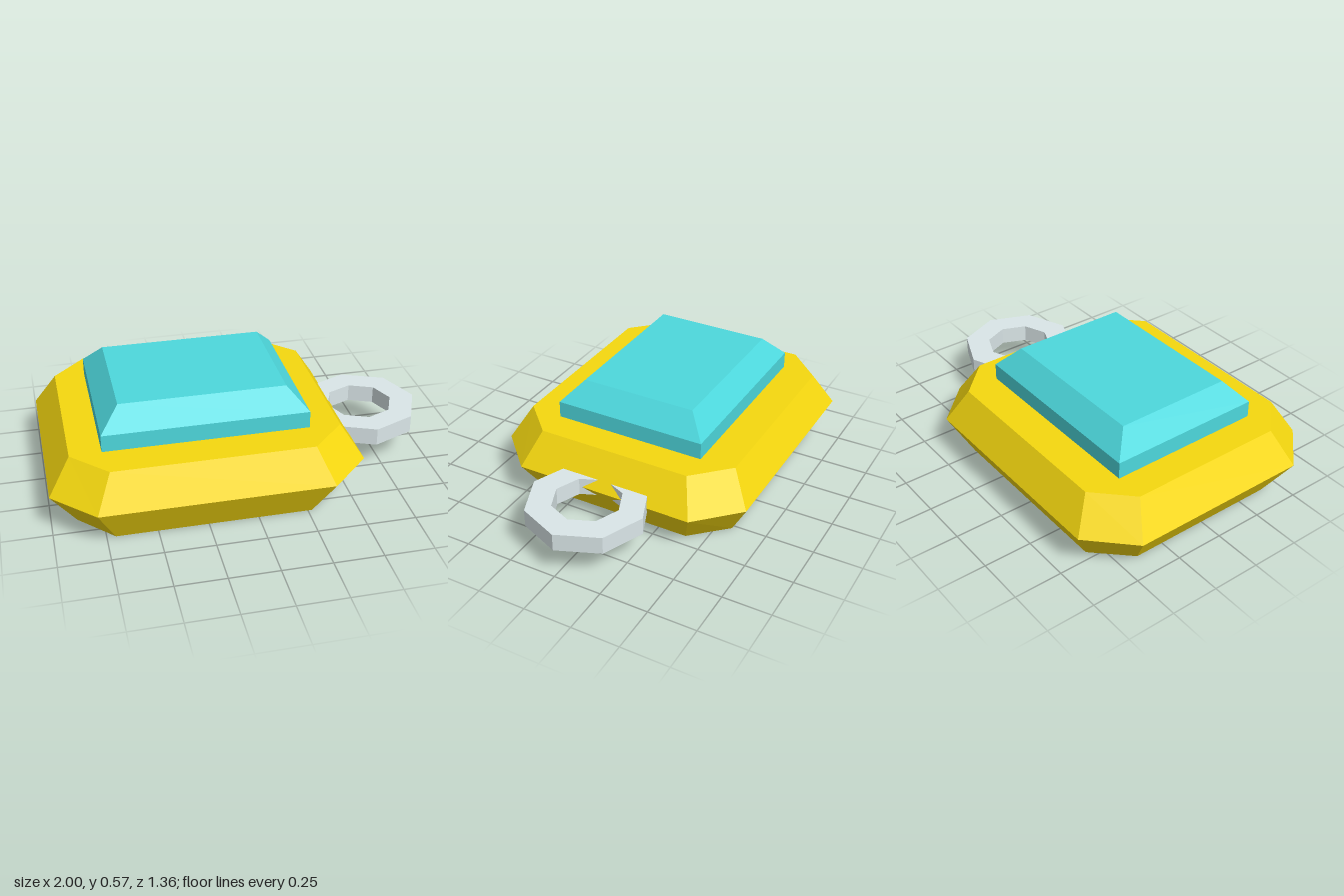
import * as THREE from 'three';

// Solid lofted through stacked convex outlines; each outline is a list of [x, z] at height y
function loft(levels) {
  const pos = [];
  const n = levels[0].outline.length;
  const at = (k, i) => {
    const [x, z] = levels[k].outline[i % n];
    return [x, levels[k].y, z];
  };
  const tri = (a, b, c) => pos.push(...a, ...b, ...c);
  for (let k = 0; k < levels.length - 1; k++) {
    for (let i = 0; i < n; i++) {
      tri(at(k, i), at(k + 1, i), at(k + 1, i + 1));
      tri(at(k, i), at(k + 1, i + 1), at(k, i + 1));
    }
  }
  const top = levels.length - 1;
  for (let i = 1; i < n - 1; i++) {
    tri(at(0, 0), at(0, i), at(0, i + 1));
    tri(at(top, 0), at(top, i + 1), at(top, i));
  }
  const geo = new THREE.BufferGeometry();
  geo.setAttribute('position', new THREE.Float32BufferAttribute(pos, 3));
  geo.computeVertexNormals();
  return geo;
}

// Rectangle with clipped corners: half sizes hx, hz; straight edges end at cx, cz
const octagon = (y, hx, hz, cx, cz) => ({
  y,
  outline: [[hx, -cz], [hx, cz], [cx, hz], [-cx, hz], [-hx, cz], [-hx, -cz], [-cx, -hz], [cx, -hz]],
});
const rectangle = (y, hx, hz) => ({ y, outline: [[hx, -hz], [hx, hz], [-hx, hz], [-hx, -hz]] });

function part(name, geometry, color, x, y = 0) {
  const material = new THREE.MeshStandardMaterial({ color, flatShading: true });
  const mesh = new THREE.Mesh(geometry, material);
  mesh.name = name;
  mesh.position.set(x, y, 0);
  return mesh;
}

export function createModel() {
  const group = new THREE.Group();
  group.name = 'pendant';

  // Bevelled gold setting, widest at its girdle
  const setting = loft([
    octagon(0, 0.655, 0.575, 0.488, 0.4),
    octagon(0.2, 0.782, 0.682, 0.575, 0.475),
    octagon(0.375, 0.67, 0.582, 0.497, 0.407),
  ]);
  group.add(part('setting', setting, 0xf5d80f, -0.218));

  // Step-cut gemstone seated in the top face
  const gem = loft([
    rectangle(0.34, 0.514, 0.403),
    rectangle(0.462, 0.514, 0.403),
    rectangle(0.57, 0.416, 0.305),
  ]);
  group.add(part('gemstone', gem, 0x4dd8dd, -0.218));

  // Flat eight-sided loop, partly sunk into the setting
  const corners = (r) => Array.from({ length: 8 }, (_, i) =>
    new THREE.Vector2(r * Math.cos(i * Math.PI / 4), r * Math.sin(i * Math.PI / 4)));
  const shape = new THREE.Shape(corners(0.305));
  shape.holes.push(new THREE.Path(corners(0.175)));
  const loop = new THREE.ExtrudeGeometry(shape, { depth: 0.092, bevelEnabled: false });
  loop.rotateX(-Math.PI / 2);
  group.add(part('hangingLoop', loop, 0xdae6e8, 0.693, 0.157));

  return group;
}
